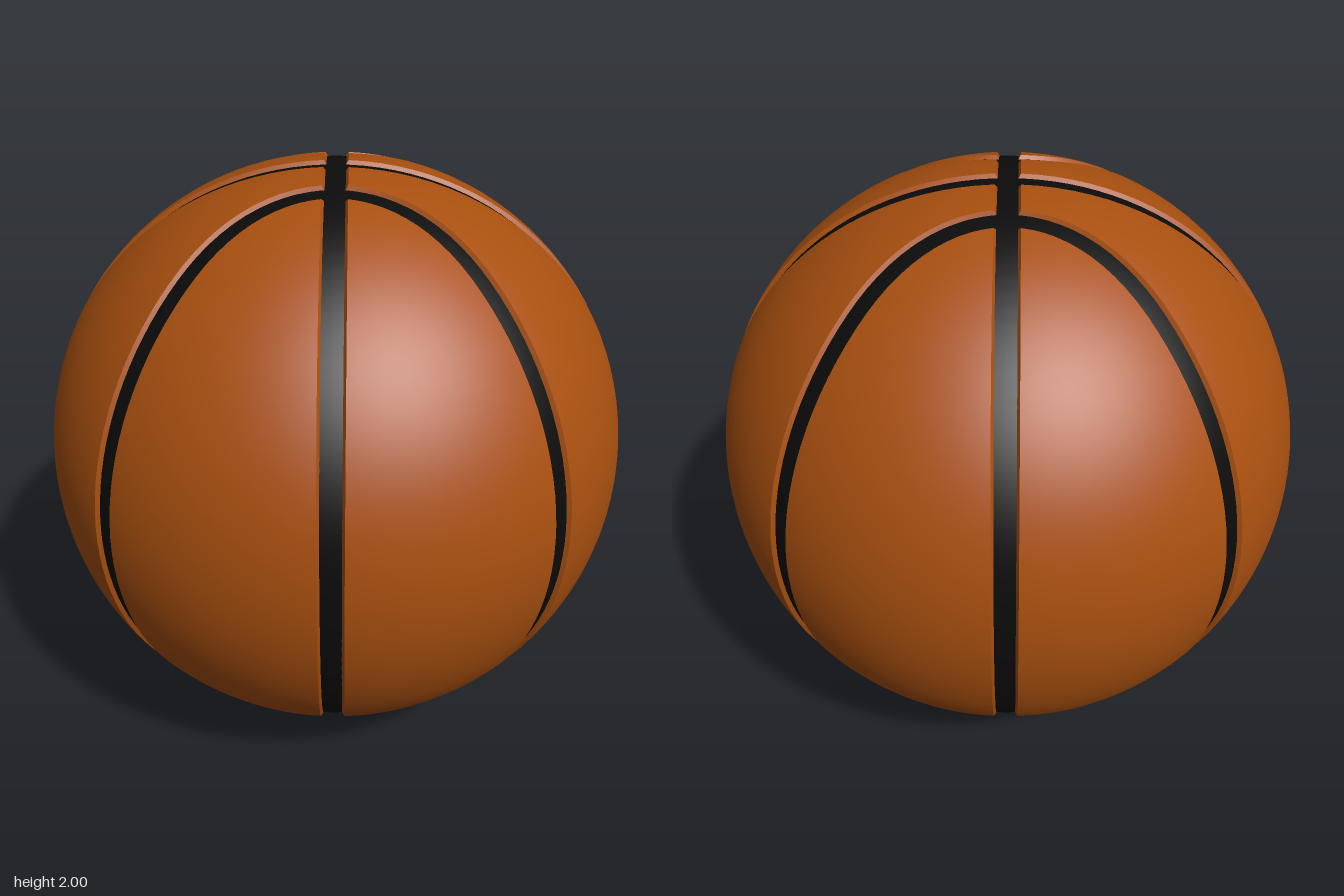
import * as THREE from 'three';
import { mergeGeometries } from 'three/addons/utils/BufferGeometryUtils.js';

const RIM = 0.04;      // half width of a groove at the panel surface
const FLOOR = 0.031;   // half width of a groove at its floor
const DEPTH = 0.987;   // radius of the groove floor
const ROWS = 28, COLS = 14;

// Curved seam in one octant: diagonal in plan, rounded off near the pole.
function seam(t) {
  const x = Math.SQRT1_2 * Math.sin(t), a = Math.abs(x);
  const z = a < 0.44 ? 0.22 + x * x / 0.88 : a;
  const y = Math.sign(Math.cos(t)) * Math.sqrt(Math.max(0, 1 - x * x - z * z));
  return new THREE.Vector3(x, y, z);
}

// Seam shifted sideways along the sphere by d.
function seamOffset(t, d) {
  const c = seam(t);
  const tangent = seam(t + 1e-3).sub(seam(t - 1e-3)).normalize();
  return c.clone().addScaledVector(c.clone().cross(tangent), d).normalize();
}

// Seam parameter where the shifted seam meets the plane x = h.
function seamStart(d, h) {
  let lo = -0.1, hi = 0.5;
  for (let i = 0; i < 40; i++) {
    const mid = (lo + hi) / 2;
    if (seamOffset(mid, d).x < h) lo = mid; else hi = mid;
  }
  return hi;
}

// Edge curves of the two panels in an octant, inset by h; v runs from top to equator.
function sidePanelEdges(h) {
  const t0 = seamStart(h, h), k = Math.sqrt(1 - h * h);
  const top = Math.acos(h / k);
  return [
    v => new THREE.Vector3(k * Math.cos(top * (1 - v)), k * Math.sin(top * (1 - v)), h),
    v => seamOffset(t0 + (Math.PI / 2 - t0) * v, h),
  ];
}

function frontPanelEdges(h) {
  const t0 = seamStart(-h, h), k = Math.sqrt(1 - h * h);
  const tip = seamOffset(t0, -h), top = Math.atan2(tip.y, tip.z);
  return [
    v => seamOffset(t0 + (Math.PI / 2 - t0) * v, -h),
    v => new THREE.Vector3(h, k * Math.sin(top * (1 - v)), k * Math.cos(top * (1 - v))),
  ];
}

// Grid surface from a point function, mirrored by the signs in s.
function grid(nu, nv, point, s, round) {
  const pos = [], uv = [], index = [];
  for (let j = 0; j <= nv; j++) {
    for (let i = 0; i <= nu; i++) {
      pos.push(...point(i / nu, j / nv).multiply(s).toArray());
      uv.push(i / nu, j / nv);
    }
  }
  const flip = s.x * s.y * s.z < 0;
  for (let j = 0; j < nv; j++) {
    for (let i = 0; i < nu; i++) {
      const a = j * (nu + 1) + i, b = a + 1, c = a + nu + 1, d = c + 1;
      if (flip) index.push(a, c, b, b, c, d);
      else index.push(a, b, c, b, d, c);
    }
  }
  const g = new THREE.BufferGeometry();
  g.setAttribute('position', new THREE.Float32BufferAttribute(pos, 3));
  g.setAttribute('uv', new THREE.Float32BufferAttribute(uv, 2));
  g.setIndex(index);
  if (round) {
    g.setAttribute('normal', new THREE.Float32BufferAttribute(pos, 3));
    g.normalizeNormals();
  } else g.computeVertexNormals();
  return g;
}

// One panel: spherical face plus sloped groove walls on its edges.
function panelGeometry(edges, s) {
  const outer = edges(FLOOR), inner = edges(RIM);
  const on = ([left, right], u, v) => left(v).lerp(right(v), u).normalize();
  const face = (u, v) => on(inner, u, v);
  const wall = (u, v, w) => on(outer, u, v).multiplyScalar(DEPTH - 0.003).lerp(on(inner, u, v), w);
  const parts = [
    grid(COLS, ROWS, face, s, true),
    grid(1, ROWS, (u, v) => wall(0, v, u), s, false),
    grid(1, ROWS, (u, v) => wall(1, v, 1 - u), s, false),
  ];
  if (edges === sidePanelEdges) parts.push(grid(COLS, 1, (u, v) => wall(u, 0, v), s, false));
  return mergeGeometries(parts);
}

export function createModel() {
  const orange = new THREE.MeshStandardMaterial({ color: 0xa84f0f });
  orange.name = 'orange leather';
  const black = new THREE.MeshStandardMaterial({ color: 0x0b0b0b });
  black.name = 'black rubber';

  const ball = new THREE.Group();
  ball.name = 'ball';

  // Black core showing through the grooves
  const core = new THREE.Mesh(new THREE.SphereGeometry(DEPTH, 96, 64), black);
  core.name = 'seamCore';
  ball.add(core);

  // Eight panels, each made of an upper and a lower mirrored half
  for (const [name, edges] of [['sidePanel', sidePanelEdges], ['middlePanel', frontPanelEdges]]) {
    for (const x of [1, -1]) {
      for (const z of [1, -1]) {
        const halves = [1, -1].map(y => panelGeometry(edges, new THREE.Vector3(x, y, z)));
        const panel = new THREE.Mesh(mergeGeometries(halves), orange);
        panel.name = name + (z > 0 ? 'Front' : 'Back') + (x > 0 ? 'Left' : 'Right');
        ball.add(panel);
      }
    }
  }

  ball.position.y = 1;
  const model = new THREE.Group();
  model.name = 'basketball';
  model.add(ball);
  return model;
}
